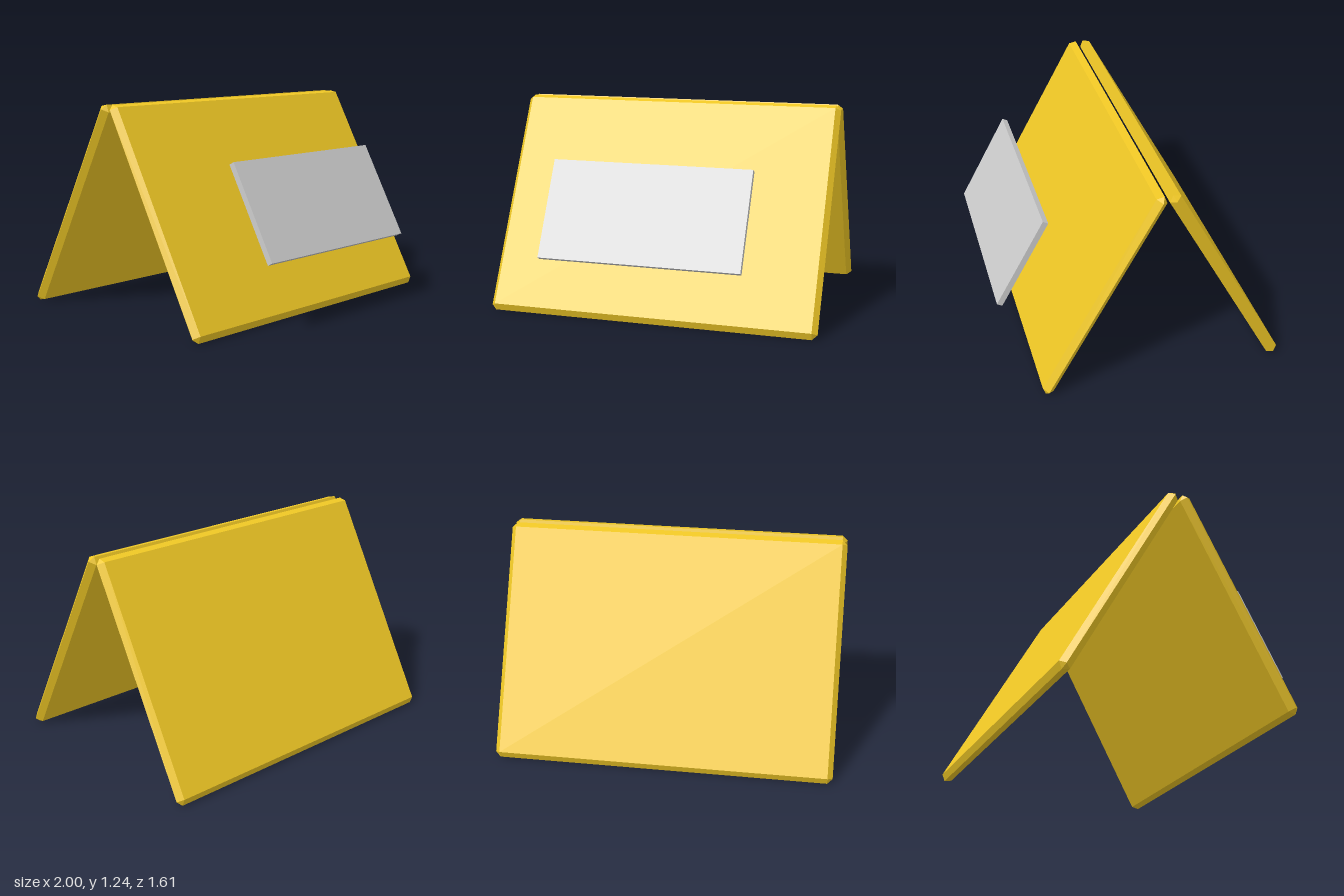
import * as THREE from 'three';
import { ConvexGeometry } from 'three/addons/geometries/ConvexGeometry.js';

const LEAN = THREE.MathUtils.degToRad(28.6);

// Slab with ridged edges and cut corners: an octagon at mid-thickness between two smaller rectangles
function bevelledSlab(width, height, depth, bevel) {
  const points = [];
  const w = width / 2, h = height / 2, d = depth / 2;
  for (const sx of [-1, 1]) {
    for (const sy of [-1, 1]) {
      points.push(
        new THREE.Vector3(sx * (w - bevel), sy * (h - bevel), d),
        new THREE.Vector3(sx * (w - bevel), sy * (h - bevel), -d),
        new THREE.Vector3(sx * w, sy * (h - bevel), 0),
        new THREE.Vector3(sx * (w - bevel), sy * h, 0)
      );
    }
  }
  return new ConvexGeometry(points);
}

export function createModel() {
  const model = new THREE.Group();
  model.name = 'foldingSignBoard';

  const yellow = new THREE.MeshStandardMaterial({ color: 0xefc725, flatShading: true });
  const grey = new THREE.MeshStandardMaterial({ color: 0xcccccc, flatShading: true });

  const add = (name, geometry, material, y, z, lean) => {
    const mesh = new THREE.Mesh(geometry, material);
    mesh.name = name;
    mesh.position.set(0, y, z);
    mesh.rotation.x = lean;
    model.add(mesh);
  };

  // Two panels leaning towards each other with a narrow gap at the top
  const panel = bevelledSlab(2, 1.41, 0.07, 0.03);
  add('frontPanel', panel, yellow, 0.62, 0.271, -LEAN);
  add('backPanel', panel, yellow, 0.62, -0.451, LEAN);

  // Blank plate held parallel to the front panel
  add('signPlate', new THREE.BoxGeometry(1.2, 0.6, 0.035), grey, 0.663, 0.643, -LEAN);

  return model;
}
